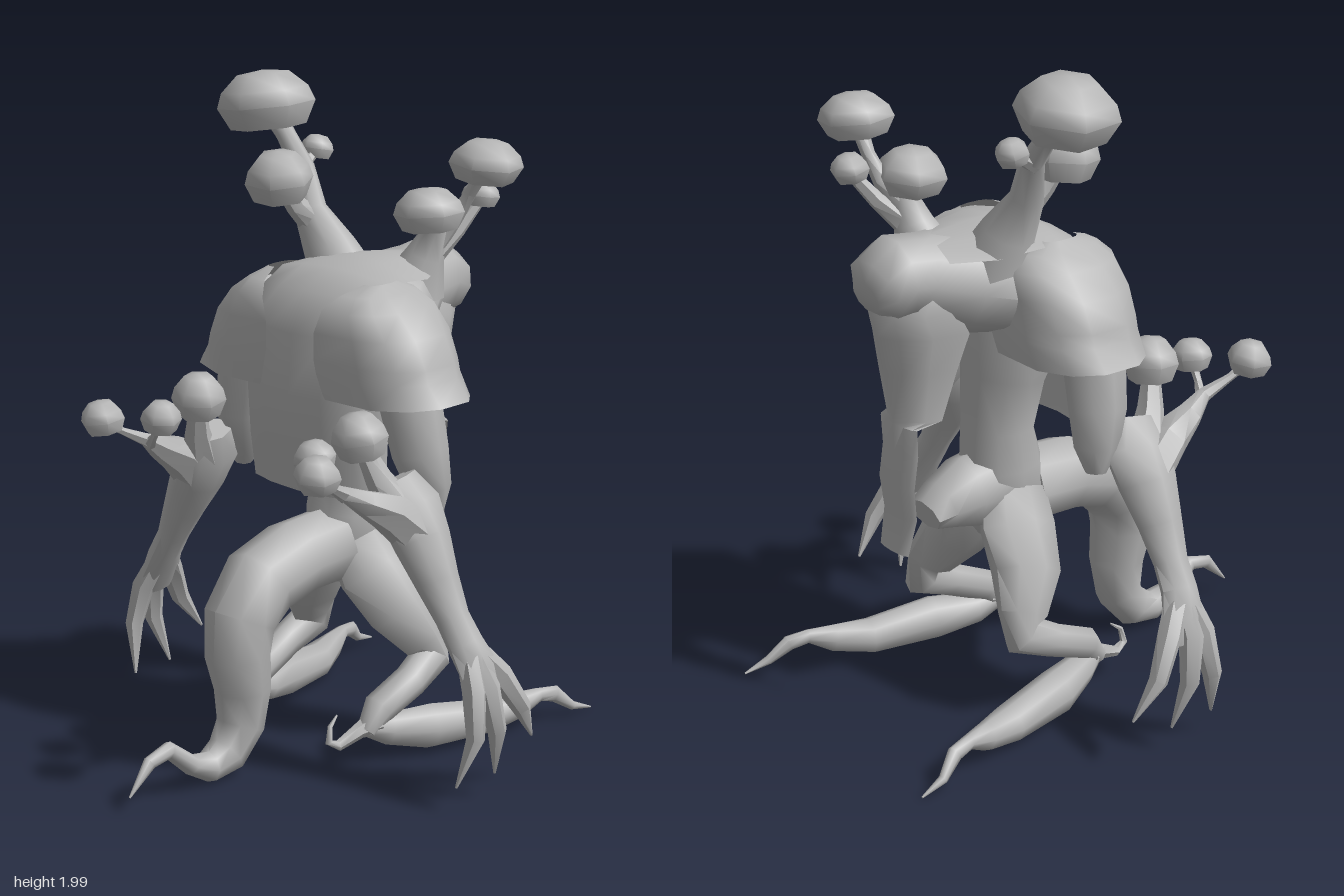
import * as THREE from 'three';
import { toCreasedNormals } from 'three/addons/utils/BufferGeometryUtils.js';

const V = (x, y, z) => new THREE.Vector3(x, y, z);

export function createModel() {
  const group = new THREE.Group();
  const skin = new THREE.MeshStandardMaterial({ color: 0xb4b4b4, side: THREE.DoubleSide });
  skin.name = 'grey skin';

  function add(name, geo, crease = 1) {
    const mesh = new THREE.Mesh(toCreasedNormals(geo, crease), skin);
    mesh.name = name;
    group.add(mesh);
    return mesh;
  }

  function build(pos, idx) {
    const geo = new THREE.BufferGeometry();
    geo.setAttribute('position', new THREE.Float32BufferAttribute(pos, 3));
    geo.setIndex(idx);
    return geo;
  }

  // Limb swept through stations [x, y, z, radius, second radius]; s mirrors x
  function limb(name, stations, s = 1, sides = 8) {
    const c = stations.map(p => V(p[0] * s, p[1], p[2]));
    const pos = [], idx = [], n = c.length;
    c.forEach((p, i) => {
      const t = c[Math.min(i + 1, n - 1)].clone().sub(c[Math.max(i - 1, 0)]).normalize();
      const u = V(1, 0, 0).addScaledVector(t, -t.x).normalize();
      const v = t.clone().cross(u);
      const a = stations[i][3], b = stations[i][4] ?? a;
      for (let j = 0; j < sides; j++) {
        const w = j / sides * Math.PI * 2;
        const q = p.clone().addScaledVector(u, a * Math.cos(w)).addScaledVector(v, b * Math.sin(w));
        pos.push(q.x, q.y, q.z);
        if (i < n - 1) {
          const A = i * sides + j, B = i * sides + (j + 1) % sides;
          idx.push(A, B, A + sides, B, B + sides, A + sides);
        }
      }
    });
    // end caps
    const k = n * sides, last = k - sides;
    pos.push(...c[0].toArray(), ...c[n - 1].toArray());
    for (let j = 0; j < sides; j++) {
      const m = (j + 1) % sides;
      idx.push(k, m, j, k + 1, last + j, last + m);
    }
    return add(name, build(pos, idx));
  }

  // Open cloth-like sheet from rows of points
  function sheet(name, rows) {
    const w = rows[0].length, idx = [];
    for (let i = 0; i < rows.length - 1; i++)
      for (let j = 0; j < w - 1; j++) {
        const a = i * w + j, d = a + w;
        idx.push(a, d, a + 1, a + 1, d, d + 1);
      }
    return add(name, build(rows.flat(2), idx), 1.2);
  }

  // Mushroom cap: faceted dome with a recessed underside
  function cap(name, x, y, z, r, h, tx = 0, tz = 0, turn = 0) {
    const prof = [[0, -0.25], [0.5, -0.32], [0.8, -0.5], [1.04, -0.1], [0.92, 0.17], [0.55, 0.46], [0, 0.52]];
    const geo = new THREE.LatheGeometry(prof.map(p => new THREE.Vector2(p[0] * r, p[1] * h)), 6);
    const mesh = add(name, geo, 1.1);
    mesh.position.set(x, y, z);
    mesh.rotation.set(tx, turn, tz);
  }

  // Trunk
  limb('torso', [
    [0, 0.5, -0.13, 0.07, 0.08], [0, 0.6, -0.14, 0.12, 0.14], [0, 0.72, -0.14, 0.12, 0.13],
    [0, 0.84, -0.15, 0.115, 0.11], [0, 1.0, -0.13, 0.14, 0.12], [0, 1.18, -0.1, 0.2, 0.17],
    [0, 1.32, -0.09, 0.2, 0.14], [0, 1.4, -0.12, 0.14, 0.08]], 1, 10);
  limb('hump', [
    [0, 1.31, -0.08, 0.2, 0.12], [0, 1.31, -0.2, 0.27, 0.15], [0, 1.33, -0.32, 0.19, 0.15],
    [0, 1.36, -0.44, 0.115, 0.13], [0, 1.375, -0.51, 0.125, 0.125], [0, 1.35, -0.57, 0.115, 0.1],
    [0, 1.34, -0.605, 0.06, 0.05]], 1, 10);
  limb('tailStump', [
    [0, 0.66, -0.14, 0.12, 0.13], [0, 0.65, -0.27, 0.11, 0.115], [0, 0.635, -0.36, 0.09, 0.075],
    [0, 0.62, -0.415, 0.075, 0.045]]);

  // Chest plate rows: height, half width, centre z, rearward and downward drop of the sides
  sheet('chestPlate', [
    [1.475, 0.12, -0.4, 0, 0.05], [1.49, 0.19, -0.28, 0, 0.06], [1.495, 0.22, -0.17, 0, 0.05],
    [1.475, 0.22, -0.06, 0.02, 0.03], [1.42, 0.22, 0.05, 0.05, 0.01], [1.3, 0.23, 0.1, 0.05, 0],
    [1.12, 0.23, 0.12, 0.055, 0], [0.96, 0.23, 0.105, 0.05, 0], [0.82, 0.235, 0.08, 0.05, 0]
  ].map(([y, w, z, d, dy]) => [-1, -0.9, -0.5, 0, 0.5, 0.9, 1].map(
    k => [k * w, y - dy * k * k, z - d * k * k - (Math.abs(k) === 1 ? d / 2 : 0)])));

  // Hanging hood and strip rows: height, half width, rear z, edge z
  sheet('backHood', [
    [1.34, 0.1, -0.57, -0.44], [1.28, 0.13, -0.585, -0.38], [1.21, 0.135, -0.57, -0.345],
    [1.1, 0.12, -0.55, -0.38], [0.95, 0.1, -0.52, -0.42], [0.935, 0.09, -0.52, -0.5],
    [0.85, 0.085, -0.52, -0.495], [0.75, 0.085, -0.535, -0.51], [0.65, 0.08, -0.52, -0.5], [0.54, 0.07, -0.54, -0.525]
  ].map(([y, w, zb, ze]) => [-90, -60, -30, 0, 30, 60, 90].map(deg => {
    const a = deg * Math.PI / 180;
    return [-w * Math.sin(a), y, ze + (zb - ze) * Math.cos(a)];
  })));

  // Front leg curling to a toe
  limb('frontLeg', [
    [0, 0.62, -0.06, 0.12, 0.12], [0, 0.615, 0.1, 0.125, 0.115], [0, 0.575, 0.24, 0.12, 0.115],
    [0, 0.48, 0.325, 0.105, 0.11], [0, 0.37, 0.335, 0.095, 0.1], [0, 0.26, 0.315, 0.085, 0.085],
    [0, 0.15, 0.325, 0.07, 0.075], [0, 0.075, 0.385, 0.06, 0.065], [0, 0.055, 0.46, 0.05, 0.047],
    [0, 0.085, 0.535, 0.038, 0.03], [0, 0.155, 0.62, 0.026, 0.026], [0, 0.138, 0.695, 0.018, 0.022],
    [0, 0.055, 0.775, 0.003]]);

  for (const s of [1, -1]) {
    const side = s > 0 ? 'left' : 'right';

    // Back leg, trailing foot and curled toe
    limb(side + 'BackLeg', [
      [0.05, 0.64, -0.13, 0.08, 0.11], [0.1, 0.54, -0.15, 0.09, 0.13], [0.18, 0.43, -0.18, 0.09, 0.115],
      [0.235, 0.33, -0.235, 0.06, 0.085], [0.25, 0.275, -0.25, 0.055, 0.065], [0.26, 0.225, -0.14, 0.052],
      [0.25, 0.17, -0.01, 0.05], [0.245, 0.11, 0.04, 0.03]], s);
    limb(side + 'Foot', [
      [0.24, 0.12, 0.03, 0.03], [0.26, 0.1, -0.04, 0.05], [0.31, 0.085, -0.17, 0.065, 0.07],
      [0.355, 0.068, -0.38, 0.06, 0.055], [0.39, 0.08, -0.49, 0.038, 0.045], [0.415, 0.1, -0.57, 0.022],
      [0.43, 0.09, -0.63, 0.02, 0.026], [0.455, 0.04, -0.69, 0.014], [0.465, 0.015, -0.77, 0.003]], s);
    limb(side + 'CurledToe', [
      [0.25, 0.13, 0, 0.04], [0.235, 0.115, 0.06, 0.024], [0.22, 0.085, 0.135, 0.016],
      [0.215, 0.105, 0.17, 0.012], [0.21, 0.15, 0.16, 0.008], [0.205, 0.175, 0.125, 0.003]], s, 6);

    // Sleeve rows: height, centre x, outward reach, depth, lift of the outer hem
    sheet(side + 'Sleeve', [
      [1.455, 0.19, 0.03, 0.06, 0], [1.43, 0.18, 0.08, 0.13, 0], [1.39, 0.17, 0.15, 0.175, 0],
      [1.32, 0.17, 0.22, 0.185, 0], [1.24, 0.18, 0.25, 0.185, 0], [1.2, 0.19, 0.25, 0.185, 0],
      [1.12, 0.22, 0.27, 0.175, 0.02]
    ].map(([y, cx, rx, rz, lift]) => [-15, 15, 45, 75, 105, 135, 165, 195].map(deg => {
      const a = deg * Math.PI / 180, sq = v => Math.sign(v) * Math.abs(v) ** 0.8;
      return [s * (cx + rx * sq(Math.sin(a))), y + lift * Math.abs(Math.sin(a)), -0.07 + rz * sq(Math.cos(a))];
    })));

    // Arm
    limb(side + 'UpperArm', [
      [0.2, 1.33, -0.08, 0.11], [0.28, 1.25, -0.06, 0.11], [0.33, 1.12, -0.05, 0.088, 0.095],
      [0.36, 0.98, -0.06, 0.08, 0.088], [0.38, 0.87, -0.08, 0.065, 0.065], [0.39, 0.8, -0.09, 0.03]], s);
    limb(side + 'Forearm', [
      [0.375, 0.93, 0.06, 0.045, 0.07], [0.41, 0.85, 0.045, 0.07, 0.115], [0.46, 0.76, 0.045, 0.075, 0.095],
      [0.52, 0.65, 0.045, 0.06, 0.07], [0.575, 0.55, 0.04, 0.045, 0.055], [0.62, 0.48, 0.035, 0.045, 0.06],
      [0.66, 0.41, 0.02, 0.04, 0.075], [0.685, 0.34, 0.015, 0.022, 0.06]], s);
    [[[0.685, 0.36, 0.07], [0.71, 0.23, 0.09], [0.67, 0.08, 0.125]],
      [[0.695, 0.36, 0.02], [0.715, 0.23, 0], [0.68, 0.08, -0.035]],
      [[0.68, 0.38, -0.05], [0.71, 0.27, -0.115], [0.69, 0.155, -0.19]]].forEach((f, i) =>
      limb(side + 'Finger' + (i + 1), [[0.62, 0.49, 0.035, 0.035], [...f[0], 0.037], [...f[1], 0.029], [...f[2], 0.004]], s, 6));

    // Elbow mushrooms
    limb(side + 'ElbowStem', [
      [0.45, 0.77, 0.05, 0.07], [0.43, 0.86, 0.15, 0.062], [0.418, 0.905, 0.24, 0.04],
      [0.4, 0.945, 0.31, 0.022], [0.42, 0.985, 0.39, 0.012], [0.43, 1.02, 0.45, 0.014]], s, 6);
    limb(side + 'ElbowTwig', [[0.4, 0.93, 0.3, 0.02], [0.35, 0.965, 0.33, 0.012], [0.31, 1.03, 0.335, 0.014]], s, 6);
    limb(side + 'ElbowStalk', [[0.41, 0.84, 0.08, 0.06], [0.37, 0.94, 0.13, 0.04], [0.33, 1.05, 0.165, 0.024]], s, 6);
    cap(side + 'ElbowCapOuter', 0.435 * s, 1.04, 0.455, 0.066, 0.095, 0.1, -0.1 * s);
    cap(side + 'ElbowCapInner', 0.31 * s, 1.04, 0.335, 0.06, 0.09, 0.1, 0.15 * s, 0.4);
    cap(side + 'ElbowCapLarge', 0.325 * s, 1.07, 0.165, 0.08, 0.13, 0.1, 0.1 * s, 0.2);
  }

  // Mushrooms growing from the right shoulder
  limb('rightShoulderStem', [
    [-0.1, 1.38, -0.22, 0.12], [-0.14, 1.49, -0.21, 0.08], [-0.2, 1.6, -0.19, 0.05],
    [-0.25, 1.72, -0.21, 0.036], [-0.33, 1.81, -0.22, 0.03], [-0.39, 1.88, -0.22, 0.035]]);
  limb('rightShoulderTwig', [[-0.18, 1.56, -0.19, 0.045], [-0.2, 1.62, -0.13, 0.033], [-0.22, 1.7, -0.085, 0.03]], 1, 6);
  limb('rightShoulderBud', [[-0.26, 1.71, -0.21, 0.025], [-0.27, 1.74, -0.26, 0.018], [-0.275, 1.76, -0.29, 0.018]], 1, 6);
  cap('rightCapLarge', -0.41, 1.91, -0.215, 0.145, 0.17, 0, 0.12, 0.2);
  cap('rightCapMiddle', -0.225, 1.715, -0.08, 0.102, 0.145, 0.15, -0.05, 0.5);
  cap('rightCapSmall', -0.275, 1.77, -0.3, 0.05, 0.07, -0.2);

  // Mushrooms growing from the left side of the hump
  limb('leftHumpStem', [
    [0.08, 1.38, -0.34, 0.1], [0.11, 1.48, -0.36, 0.06], [0.14, 1.56, -0.37, 0.04], [0.135, 1.63, -0.345, 0.035]]);
  limb('leftHumpTwig', [[0.12, 1.5, -0.37, 0.045], [0.18, 1.6, -0.42, 0.026], [0.22, 1.67, -0.435, 0.02], [0.27, 1.75, -0.435, 0.025]], 1, 6);
  limb('leftHumpBud', [[0.12, 1.48, -0.38, 0.04], [0.16, 1.55, -0.45, 0.025], [0.19, 1.64, -0.52, 0.018]], 1, 6);
  cap('leftCapLarge', 0.28, 1.775, -0.435, 0.108, 0.12, 0, -0.1, 0.3);
  cap('leftCapMiddle', 0.14, 1.625, -0.34, 0.103, 0.125, 0, 0.08, 0.1);
  cap('leftCapSmall', 0.19, 1.655, -0.52, 0.056, 0.075, -0.15, 0, 0.2);

  return group;
}
